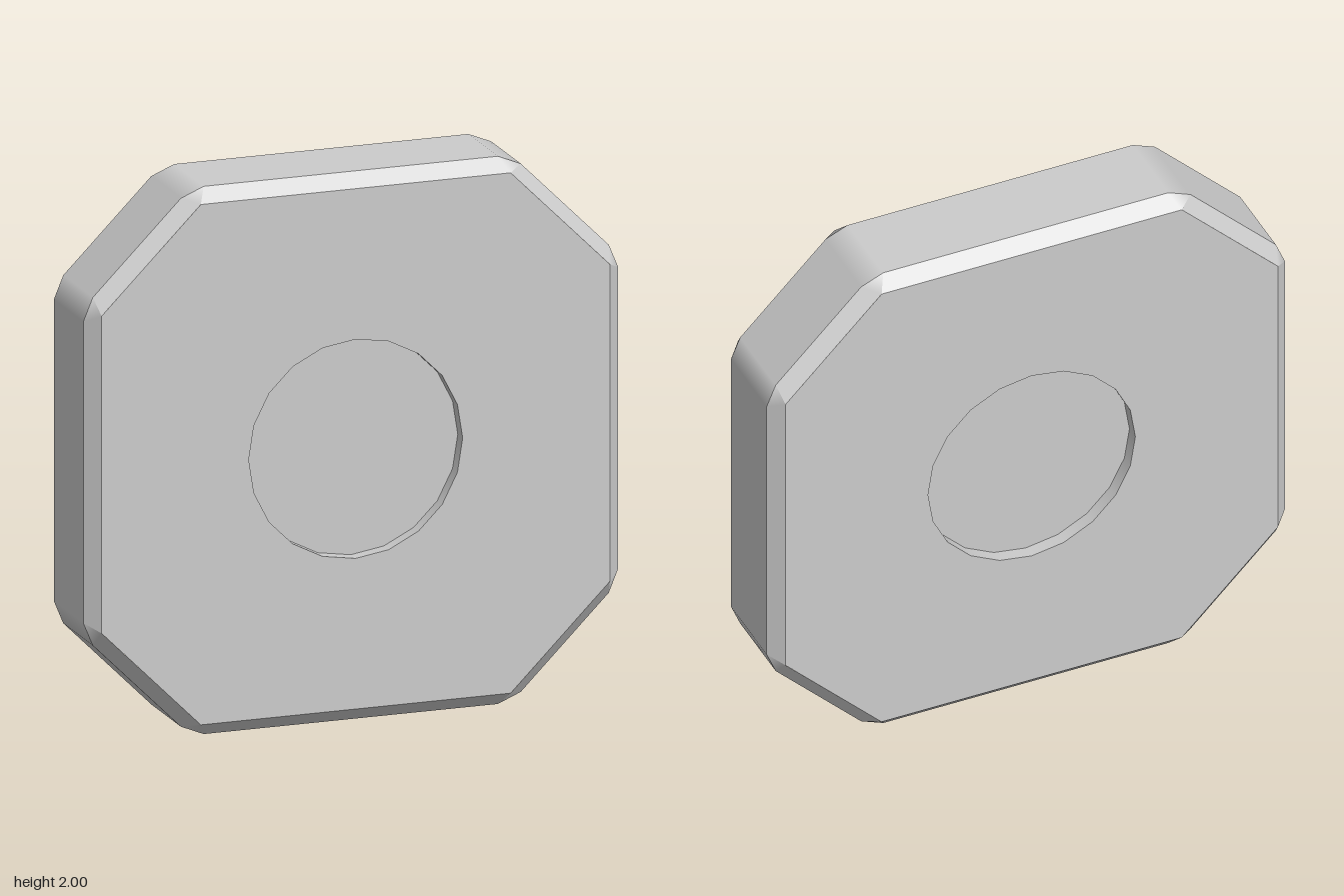
import * as THREE from 'three';

const HALF_DEPTH = 0.2, BEVEL = 0.05, RADIUS = 0.4, RECESS = 0.05;

// Eight sides, alternating straight and diagonal; two points per side with that side's normal
function outline(straight, diagonal) {
  const points = [];
  for (let k = 0; k < 8; k++) {
    const { distance, half } = k % 2 ? diagonal : straight;
    const a = k * Math.PI / 4;
    const n = new THREE.Vector2(Math.cos(a), Math.sin(a));
    for (const s of [-half, half]) {
      points.push({ x: n.x * distance - n.y * s, y: n.y * distance + n.x * s, n });
    }
  }
  return points;
}

// Closed band between two outlines; slope is the z share of the normal
function band(back, zBack, front, zFront, slope) {
  const position = [], normal = [], index = [];
  const flat = Math.sqrt(1 - slope * slope), count = back.length;
  for (let i = 0; i < count; i++) {
    for (const [p, z] of [[back[i], zBack], [front[i], zFront]]) {
      position.push(p.x, p.y, z);
      normal.push(p.n.x * flat, p.n.y * flat, slope);
    }
    const b = 2 * i, c = 2 * ((i + 1) % count);
    index.push(b, c, c + 1, b, c + 1, b + 1);
  }
  const geometry = new THREE.BufferGeometry();
  geometry.setAttribute('position', new THREE.Float32BufferAttribute(position, 3));
  geometry.setAttribute('normal', new THREE.Float32BufferAttribute(normal, 3));
  geometry.setIndex(index);
  return geometry;
}

export function createModel() {
  const material = new THREE.MeshStandardMaterial({ color: 0xcccccc });
  const model = new THREE.Group();
  model.name = 'octagonalBlock';
  const add = (parent, name, geometry) => {
    const mesh = new THREE.Mesh(geometry, material);
    mesh.name = name;
    parent.add(mesh);
  };

  // Outer outline has clipped corners, the face outline has sharp ones
  const outer = outline(
    { distance: 1, half: 0.55 },
    { distance: 1.6 / Math.SQRT2, half: 0.4 / Math.SQRT2 - BEVEL });
  const inner = outline(
    { distance: 1 - BEVEL, half: 0.579 },
    { distance: 1.6 / Math.SQRT2 - BEVEL, half: 0.371 / Math.SQRT2 });

  // Rim
  const zRim = HALF_DEPTH - BEVEL;
  add(model, 'rim', band(outer, -zRim, outer, zRim, 0));

  // Front and back: bevel, face with a round hole, shallow recess
  const face = new THREE.Shape(inner.filter((p, i) => i % 2).map(p => new THREE.Vector2(p.x, p.y)));
  const circle = [];
  for (let i = 0; i < 20; i++) {
    const a = -i * Math.PI / 10;
    circle.push(new THREE.Vector2(RADIUS * Math.cos(a), RADIUS * Math.sin(a)));
  }
  face.holes.push(new THREE.Path(circle));

  for (const side of ['front', 'back']) {
    const half = new THREE.Group();
    half.name = side + 'Side';
    if (side === 'back') half.rotation.y = Math.PI;
    add(half, side + 'Bevel', band(outer, zRim, inner, HALF_DEPTH, Math.SQRT1_2));
    add(half, side + 'Face', new THREE.ShapeGeometry(face).translate(0, 0, HALF_DEPTH));
    const wall = [new THREE.Vector2(RADIUS, HALF_DEPTH), new THREE.Vector2(RADIUS, HALF_DEPTH - RECESS)];
    add(half, side + 'RecessWall', new THREE.LatheGeometry(wall, 20).rotateX(Math.PI / 2));
    add(half, side + 'RecessFloor', new THREE.CircleGeometry(RADIUS, 20).translate(0, 0, HALF_DEPTH - RECESS));
    model.add(half);
  }

  // Stand the block on the ground
  for (const part of model.children) part.position.y = 1;
  return model;
}
